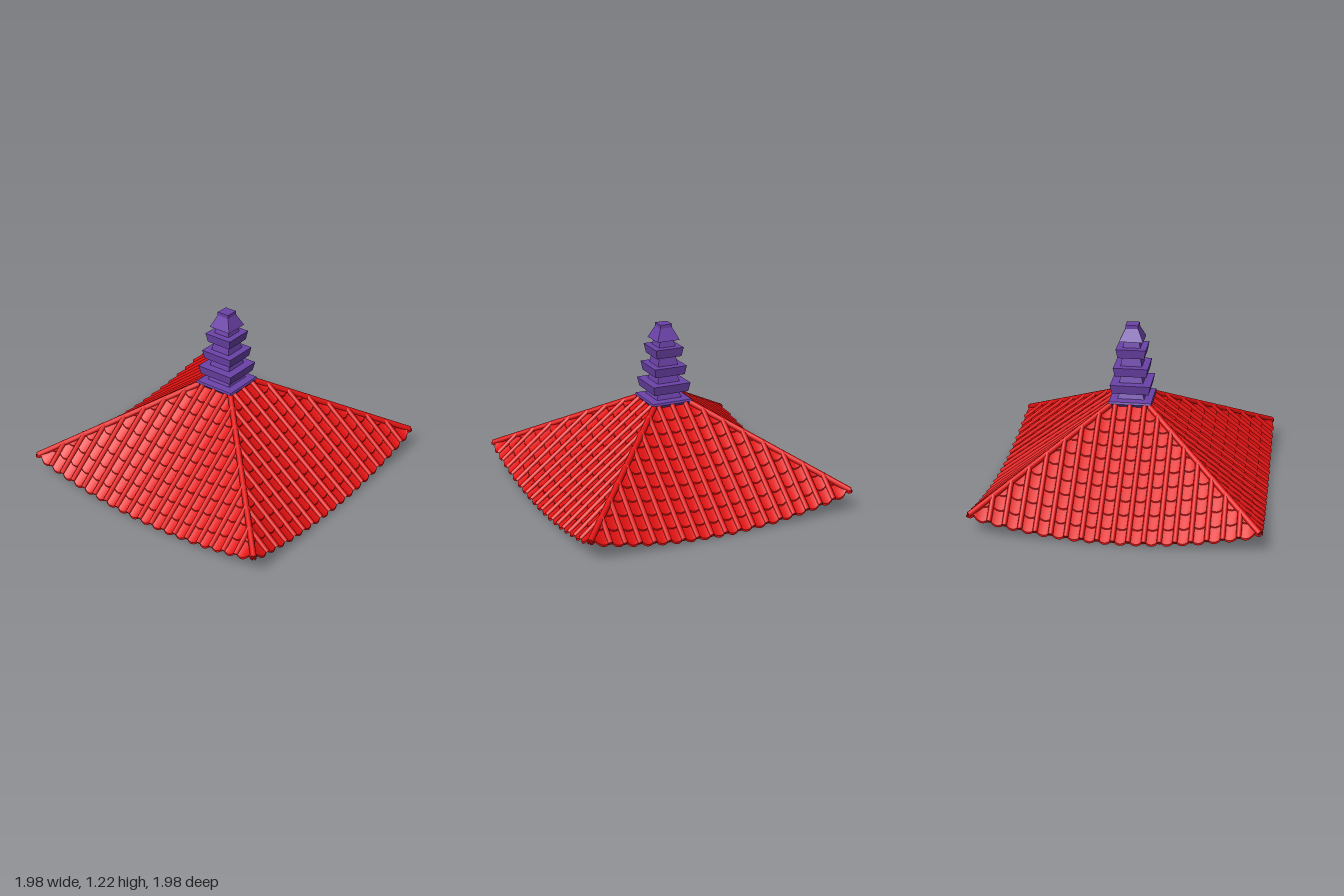
import * as THREE from 'three';
import { mergeGeometries, toCreasedNormals } from 'three/addons/utils/BufferGeometryUtils.js';

const HALF = 0.975, TOP = 0.14, PITCH = 0.104, ROWS = 10;
const red = new THREE.MeshStandardMaterial({ color: 0xe01010, side: THREE.DoubleSide });
const purple = new THREE.MeshStandardMaterial({ color: 0x6b42a8, side: THREE.DoubleSide });
const purpleFlat = new THREE.MeshStandardMaterial({ color: 0x6b42a8, flatShading: true });

// Height of one slope: straight hips, eave sagging in the middle
const hipY = d => 0.145 + (HALF - d) * 0.61;
const eaveY = x => 0.02 + 0.125 * (x / HALF) ** 2;
const innerZ = x => Math.max(Math.abs(x), TOP);
function roofY(x, z) {
  const zi = innerZ(x), span = Math.max(HALF - zi, 0.02);
  return THREE.MathUtils.lerp(eaveY(x), hipY(Math.min(zi, HALF)), (HALF - z) / span);
}

// Surface patch from a function of u and v in 0..1, without collapsed triangles
function patch(nu, nv, fn) {
  const pts = [], out = [], tri = new THREE.Triangle();
  for (let j = 0; j <= nv; j++)
    for (let i = 0; i <= nu; i++) pts.push(new THREE.Vector3(...fn(i / nu, j / nv)));
  const add = (a, b, c) => {
    tri.set(pts[a], pts[b], pts[c]);
    if (tri.getArea() > 1e-8) for (const k of [a, b, c]) out.push(...pts[k].toArray());
  };
  for (let j = 0; j < nv; j++)
    for (let i = 0; i < nu; i++) {
      const a = j * (nu + 1) + i, d = a + nu + 1;
      add(a, a + 1, d + 1);
      add(a, d + 1, d);
    }
  const g = new THREE.BufferGeometry();
  g.setAttribute('position', new THREE.Float32BufferAttribute(out, 3));
  g.computeVertexNormals();
  return g;
}

// Round bar between two points
function bar(a, b, r, sides = 8) {
  const g = new THREE.CylinderGeometry(r, r, a.distanceTo(b), sides);
  const dir = b.clone().sub(a).normalize();
  g.applyQuaternion(new THREE.Quaternion().setFromUnitVectors(new THREE.Vector3(0, 1, 0), dir));
  const mid = a.clone().add(b).multiplyScalar(0.5);
  return g.translate(mid.x, mid.y, mid.z);
}

// Overlapping pan tiles with a rounded, raised lower lip
function tileGeometry() {
  const parts = [], step = (HALF - TOP) / ROWS;
  for (let c = -10; c < 10; c++) {
    const x0 = c * PITCH, x1 = x0 + PITCH;
    const near = Math.min(Math.abs(x0), Math.abs(x1));
    for (let r = 0; r < ROWS; r++) {
      const low = HALF + 0.012 - r * step;
      if (low < near + 0.01) continue;
      const point = (u, v, drop) => {
        const x = THREE.MathUtils.clamp(x0 + u * PITCH, -HALF, HALF), s = 2 * u - 1;
        const z = Math.max(low - v * (step + 0.02) - 0.016 * s * s * (1 - v), innerZ(x));
        const lift = 0.004 + 0.017 * (1 - v) - 0.01 * (1 - s * s) * (1 - 0.6 * v);
        return [x, roofY(x, z) + lift - drop, z];
      };
      parts.push(patch(6, 2, (u, v) => point(u, v, 0)));
      parts.push(patch(6, 1, (u, v) => point(u, 0, 0.014 * (1 - v))));
    }
  }
  return toCreasedNormals(mergeGeometries(parts.filter(g => g.attributes.position.count)), 0.7);
}

// Rolls covering the joints between tile columns
function rollGeometry() {
  const parts = [];
  for (let c = -8; c <= 8; c++) {
    const x = c * PITCH, zi = innerZ(x), ze = HALF + 0.005;
    parts.push(bar(new THREE.Vector3(x, roofY(x, ze) + 0.014, ze),
      new THREE.Vector3(x, roofY(x, zi) + 0.014, zi), 0.018));
  }
  return mergeGeometries(parts);
}

// Deck under the tiles
const deckGeometry = () => patch(36, 12, (u, v) => {
  const x = (2 * u - 1) * 0.955, z = THREE.MathUtils.lerp(0.96, innerZ(x), v);
  return [x, roofY(x, z) - 0.001, z];
});

// Soffit from the curved eave in to a level square opening
const soffitGeometry = () => patch(24, 1, (u, v) => {
  const s = 2 * u - 1, h = THREE.MathUtils.lerp(0.96, 0.8, v);
  return [s * h, THREE.MathUtils.lerp(eaveY(s * 0.96) + 0.003, 0.035, v), h];
});

export function createModel() {
  const model = new THREE.Group();
  const add = (parent, name, geometry, material) => {
    const m = new THREE.Mesh(geometry, material);
    m.name = name;
    parent.add(m);
    return m;
  };

  // Four identical roof slopes, each with one hip ridge
  const tiles = tileGeometry(), rolls = rollGeometry();
  const deck = deckGeometry(), soffit = soffitGeometry();
  const hip = bar(new THREE.Vector3(0.97, hipY(0.97) + 0.008, 0.97),
    new THREE.Vector3(TOP, hipY(TOP) + 0.008, TOP), 0.021, 10);
  ['front', 'left', 'back', 'right'].forEach((side, i) => {
    const slope = new THREE.Group();
    slope.name = side + 'Slope';
    slope.rotation.y = i * Math.PI / 2;
    add(slope, 'tiles', tiles, red);
    add(slope, 'coverRolls', rolls, red);
    add(slope, 'hipRidge', hip, red);
    add(slope, 'deck', deck, purple);
    add(slope, 'soffit', soffit, purple);
    model.add(slope);
  });

  // Square tiered finial: [half width, height]
  const profile = [
    [0, 0.645], [0.13, 0.645], [0.155, 0.675], [0.15, 0.69], [0.095, 0.695], [0.08, 0.74],
    [0.13, 0.745], [0.143, 0.81], [0.085, 0.812], [0.072, 0.865],
    [0.112, 0.868], [0.123, 0.932], [0.076, 0.934], [0.064, 0.995],
    [0.094, 0.998], [0.106, 1.064], [0.062, 1.066], [0.052, 1.112],
    [0.085, 1.115], [0.045, 1.2], [0.045, 1.225], [0, 1.225],
  ].map(([h, y]) => new THREE.Vector2(h * Math.SQRT2, y));
  add(model, 'finial', new THREE.LatheGeometry(profile, 4, Math.PI / 4), purpleFlat);

  return model;
}
